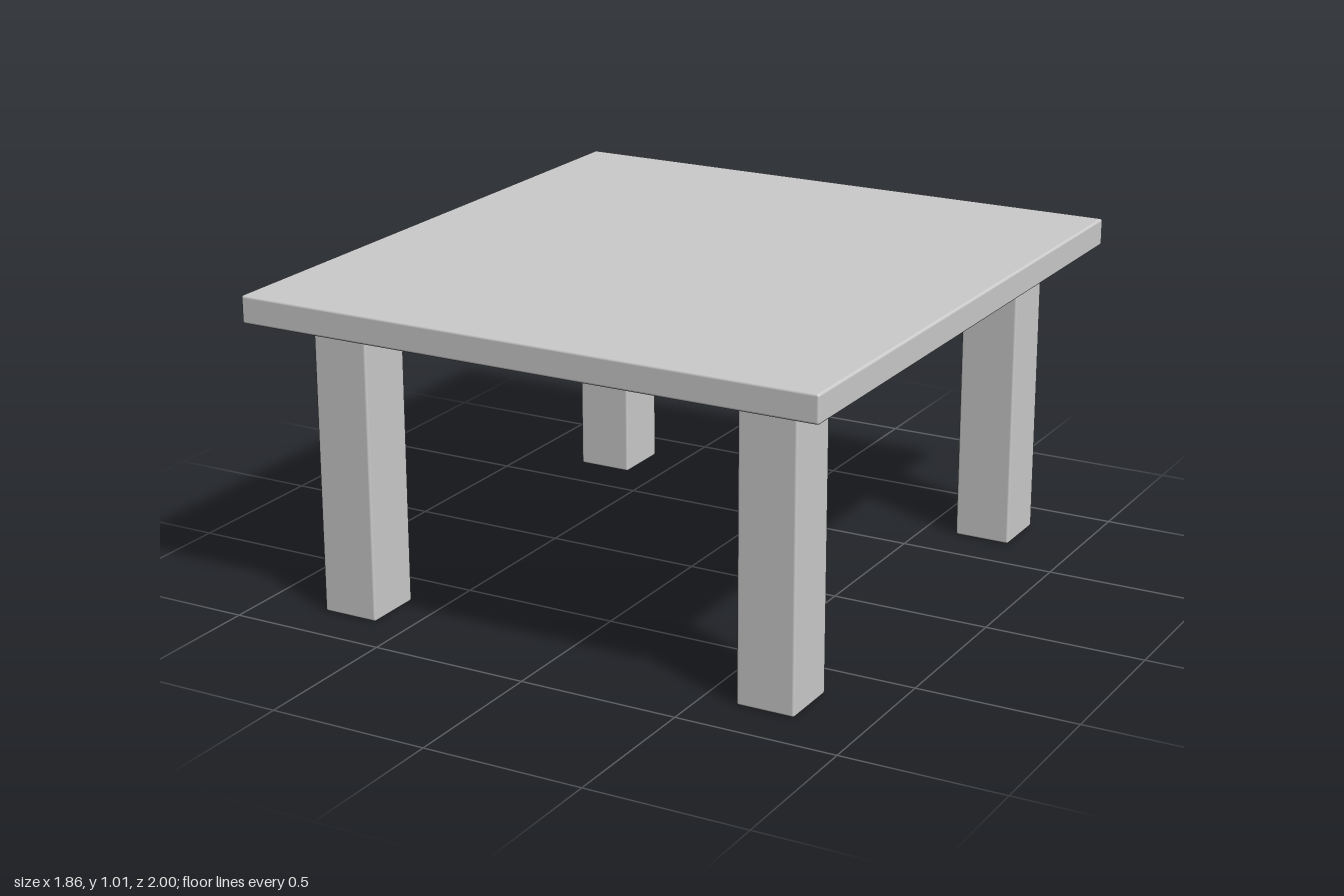
import * as THREE from 'three';
import { RoundedBoxGeometry } from 'three/addons/geometries/RoundedBoxGeometry.js';

const material = new THREE.MeshStandardMaterial({ color: 0xcccccc });

function addMesh(parent, name, geometry, x, y, z) {
  const mesh = new THREE.Mesh(geometry, material);
  mesh.name = name;
  mesh.position.set(x, y, z);
  parent.add(mesh);
  return mesh;
}

export function createModel() {
  const model = new THREE.Group();
  model.name = 'table';

  const topHeight = 1.012, underside = 0.926;
  const legWidth = 0.182, legDepth = 0.194;

  // Tabletop slab with softly eased edges
  const thickness = topHeight - underside;
  addMesh(model, 'tabletop', new RoundedBoxGeometry(1.862, thickness, 2, 2, 0.008),
    0, underside + thickness / 2, 0);

  // Leg, reaching slightly into the slab
  const legHeight = underside + 0.02;
  const legGeometry = new RoundedBoxGeometry(legWidth, legHeight, legDepth, 2, 0.008);

  // Small flare where the leg meets the underside
  const flare = new THREE.CylinderGeometry(0.55 * Math.SQRT2, 0.5 * Math.SQRT2, 0.01, 4, 1, true);
  flare.rotateY(Math.PI / 4).scale(legWidth, 1, legDepth);
  const flareGeometry = flare.toNonIndexed();
  flareGeometry.computeVertexNormals();

  for (const sx of [-1, 1]) {
    for (const sz of [-1, 1]) {
      const leg = new THREE.Group();
      leg.name = (sz > 0 ? 'front' : 'back') + (sx > 0 ? 'Left' : 'Right') + 'Leg';
      leg.position.set(sx * 0.701, 0, sz * 0.75);
      addMesh(leg, 'legPost', legGeometry, 0, legHeight / 2, 0);
      addMesh(leg, 'legFlare', flareGeometry, 0, underside - 0.005, 0);
      model.add(leg);
    }
  }
  return model;
}
